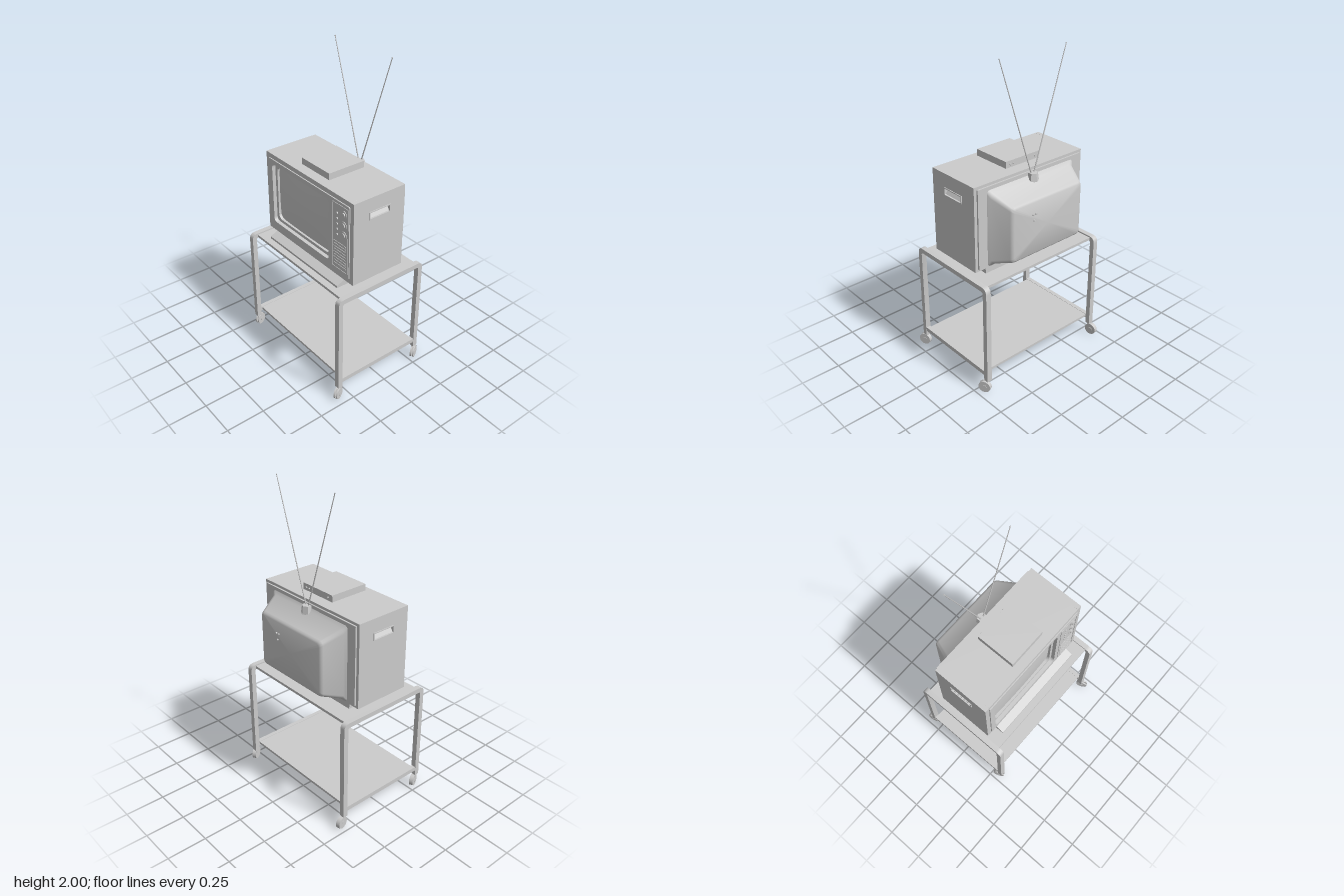
import * as THREE from 'three';
import { toCreasedNormals } from 'three/addons/utils/BufferGeometryUtils.js';

const mat = new THREE.MeshStandardMaterial({ color: 0xcccccc });
const matDouble = new THREE.MeshStandardMaterial({ color: 0xcccccc, side: THREE.DoubleSide });
const ZC = -0.01; // shared z centre of cart and television

export function createModel() {
  const root = new THREE.Group();

  const add = (name, geo, parent = root, m = mat) => {
    const mesh = new THREE.Mesh(geo, m);
    mesh.name = name;
    parent.add(mesh);
    return mesh;
  };
  // box given by its limits
  const box = (name, x0, x1, y0, y1, z0, z1, parent = root) => {
    const mesh = add(name, new THREE.BoxGeometry(x1 - x0, y1 - y0, z1 - z0), parent);
    mesh.position.set((x0 + x1) / 2, (y0 + y1) / 2, (z0 + z1) / 2);
    return mesh;
  };
  // cylinder lying along x
  const stub = (name, x, y, z, r, len, parent, sides = 16) => {
    const mesh = add(name, new THREE.CylinderGeometry(r, r, len, sides).rotateZ(Math.PI / 2), parent);
    mesh.position.set(x, y, z);
    return mesh;
  };
  const roundRect = (a0, a1, b0, b1, r, path = new THREE.Shape()) => {
    path.moveTo(a0 + r, b0).lineTo(a1 - r, b0).quadraticCurveTo(a1, b0, a1, b0 + r);
    path.lineTo(a1, b1 - r).quadraticCurveTo(a1, b1, a1 - r, b1);
    path.lineTo(a0 + r, b1).quadraticCurveTo(a0, b1, a0, b1 - r);
    path.lineTo(a0, b0 + r).quadraticCurveTo(a0, b0, a0 + r, b0);
    return path;
  };
  const extrude = (shape, depth) =>
    new THREE.ExtrudeGeometry(shape, { depth, bevelEnabled: false, curveSegments: 6 });
  // plate facing x with a rounded opening; limits are [z0, z1, y0, y1, radius]
  const plateX = (name, x0, x1, o, h, parent) => {
    const s = roundRect(-o[1], -o[0], o[2], o[3], o[4]);
    s.holes.push(roundRect(-h[1], -h[0], h[2], h[3], h[4], new THREE.Path()));
    add(name, extrude(s, x1 - x0).rotateY(Math.PI / 2), parent).position.x = x0;
  };

  // ---- Cart ----
  const cart = new THREE.Group();
  cart.name = 'cart';
  root.add(cart);
  box('topShelf', -0.29, 0.287, 0.715, 0.732, -0.44, 0.42, cart);
  box('lowerShelf', -0.29, 0.287, 0.124, 0.14, -0.44, 0.42, cart);
  const arch = new THREE.Shape();
  arch.moveTo(-0.33, 0.08).lineTo(-0.33, 0.7).quadraticCurveTo(-0.33, 0.74, -0.29, 0.74);
  arch.lineTo(0.282, 0.74).quadraticCurveTo(0.322, 0.74, 0.322, 0.7).lineTo(0.322, 0.08);
  arch.lineTo(0.291, 0.08).lineTo(0.291, 0.695).quadraticCurveTo(0.291, 0.71, 0.276, 0.71);
  arch.lineTo(-0.284, 0.71).quadraticCurveTo(-0.299, 0.71, -0.299, 0.695).lineTo(-0.299, 0.08);
  for (const s of [1, -1]) {
    const z = ZC + s * 0.444;
    add('sideFrame', toCreasedNormals(extrude(arch, 0.034), 0.6), cart).position.z = z - 0.017;
    box('lowerRail', -0.3, 0.292, 0.114, 0.142, z - 0.014, z + 0.014, cart);
  }

  // swivelled casters: stem x, stem z, wheel x, wheel z, swivel
  for (const [sx, sz, wx, wz, turn] of [
    [-0.314, 0.434, -0.326, 0.441, 0.42], [-0.314, -0.454, -0.298, -0.457, 0.38],
    [0.306, -0.454, 0.325, -0.456, 0.2], [0.306, 0.434, 0.297, 0.451, 0.5]]) {
    const caster = new THREE.Group();
    caster.name = 'caster';
    cart.add(caster);
    add('stem', new THREE.CylinderGeometry(0.01, 0.01, 0.04, 12), caster).position.set(sx, 0.075, sz);
    const fork = new THREE.Group();
    fork.name = 'swivelWheel';
    fork.position.set(wx, 0.039, wz);
    fork.rotation.y = turn;
    caster.add(fork);
    for (const s of [1, -1]) {
      add('wheel', new THREE.CylinderGeometry(0.038, 0.038, 0.009, 24).rotateX(Math.PI / 2), fork).position.z = s * 0.008;
      add('hub', new THREE.CylinderGeometry(0.014, 0.014, 0.004, 16).rotateX(Math.PI / 2), fork).position.z = s * 0.013;
    }
    add('fender', new THREE.CylinderGeometry(0.04, 0.04, 0.022, 20, 1, true, -0.6, 2.4)
      .rotateX(Math.PI / 2).rotateZ(Math.PI / 2), fork, matDouble);
  }

  // ---- Television cabinet ----
  const tv = new THREE.Group();
  tv.name = 'television';
  root.add(tv);
  box('cabinetCore', -0.15, 0.18, 0.77, 1.31, -0.4, 0.38, tv);
  const side = new THREE.Shape();
  side.moveTo(-0.195, 0.77).lineTo(0.18, 0.77).lineTo(0.18, 1.31).lineTo(-0.195, 1.31).closePath();
  side.holes.push(roundRect(-0.08, 0.066, 1.178, 1.217, 0.003, new THREE.Path()));
  const rim = roundRect(-0.087, 0.073, 1.172, 1.223, 0.004);
  rim.holes.push(roundRect(-0.08, 0.066, 1.178, 1.217, 0.003, new THREE.Path()));
  for (const s of [1, -1]) {
    const outer = ZC + s * 0.42;
    add('sidePanel', extrude(side, 0.03), tv).position.z = s > 0 ? outer - 0.03 : outer;
    add('handleRim', extrude(rim, 0.005), tv).position.z = s > 0 ? outer : outer - 0.005;
    const grip = box('handleScoop', -0.08, 0.066, 1.176, 1.214, outer - s * 0.015 - 0.002, outer - s * 0.015 + 0.002, tv);
    grip.rotation.x = -s * 0.6;
  }
  // plinth with a sloping front lip
  const plinth = new THREE.Shape();
  plinth.moveTo(-0.247, 0.732).lineTo(0.175, 0.732).lineTo(0.175, 0.772).lineTo(-0.19, 0.772)
    .lineTo(-0.247, 0.746).closePath();
  add('plinth', extrude(plinth, 0.68), tv).position.z = -0.35;

  // ---- Screen side (faces -x) ----
  plateX('frontFrame', -0.195, -0.15, [-0.4, 0.38, 0.77, 1.31, 0.001], [-0.365, 0.195, 0.84, 1.25, 0.03], tv);
  plateX('frontBezel', -0.202, -0.19, [-0.4, 0.38, 0.8, 1.28, 0.008], [-0.365, 0.195, 0.84, 1.25, 0.03], tv);
  plateX('screenSurround', -0.178, -0.15, [-0.368, 0.198, 0.837, 1.253, 0.03], [-0.345, 0.175, 0.86, 1.23, 0.04], tv);
  const glass = new THREE.PlaneGeometry(0.54, 0.39, 16, 12);
  const gp = glass.attributes.position;
  for (let i = 0; i < gp.count; i++) {
    const u = gp.getX(i) / 0.27, v = gp.getY(i) / 0.195;
    gp.setZ(i, 0.02 * (1 - u * u * 0.6) * (1 - v * v * 0.6));
  }
  glass.rotateY(-Math.PI / 2).computeVertexNormals();
  add('screen', glass, tv).position.set(-0.155, 1.045, -0.085);

  // control panel: border, dials, buttons and speaker slats
  plateX('controlBorder', -0.205, -0.2, [0.225, 0.372, 0.825, 1.262, 0.006], [0.231, 0.366, 0.831, 1.256, 0.005], tv);
  for (const y of [1.215, 1.145, 1.08]) {
    stub('dialPlate', -0.203, y, 0.335, 0.024, 0.005, tv, 24);
    stub('dial', -0.207, y, 0.335, 0.014, 0.01, tv, 16);
  }
  for (let i = 0; i < 5; i++) stub('button', -0.204, 1.06 + i * 0.035, 0.275, 0.007, 0.008, tv, 12);
  for (let i = 0; i < 9; i++) {
    const y = 0.85 + i * 0.019;
    box('speakerSlat', -0.205, -0.2, y, y + 0.009, 0.245, 0.352, tv);
  }

  // ---- Back housing (faces +x), lofted from rounded rectangles ----
  box('backPanel', 0.175, 0.19, 0.785, 1.293, -0.41, 0.39, tv);
  const rings = [ // x, half width, y0, y1, corner radius
    [0.185, 0.337, 0.78, 1.275, 0.02], [0.193, 0.334, 0.785, 1.268, 0.022], [0.205, 0.322, 0.797, 1.25, 0.028],
    [0.318, 0.278, 0.837, 1.196, 0.026], [0.329, 0.271, 0.843, 1.189, 0.024], [0.335, 0.258, 0.853, 1.178, 0.02]];
  const K = 5, N = 4 * (K + 1), pos = [], idx = [];
  for (const [x, w, y0, y1, r] of rings)
    for (let c = 0; c < 4; c++)
      for (let k = 0; k <= K; k++) {
        const a = (c + k / K) * Math.PI / 2;
        const sz = c === 0 || c === 3 ? 1 : -1, sy = c < 2 ? 1 : -1;
        pos.push(x, (y0 + y1) / 2 + sy * ((y1 - y0) / 2 - r) + r * Math.sin(a), ZC + sz * (w - r) + r * Math.cos(a));
      }
  const last = rings.length - 1;
  for (let j = 0; j < last; j++)
    for (let i = 0; i < N; i++) {
      const a = j * N + i, b = j * N + (i + 1) % N;
      idx.push(a, a + N, b, b, a + N, b + N);
    }
  pos.push(0.336, 1.015, ZC);
  for (let i = 0; i < N; i++) idx.push(last * N + i, rings.length * N, last * N + (i + 1) % N);
  const hump = new THREE.BufferGeometry();
  hump.setAttribute('position', new THREE.Float32BufferAttribute(pos, 3));
  hump.setIndex(idx);
  add('backHousing', toCreasedNormals(hump, 0.7), tv, matDouble);
  for (const [y, z] of [[1.105, 0.088], [1.105, 0.11], [1.065, 0.1]]) stub('jack', 0.338, y, z, 0.006, 0.012, tv, 10);

  // ---- Antenna ----
  const antenna = new THREE.Group();
  antenna.name = 'antenna';
  root.add(antenna);
  const base = add('antennaBase', new THREE.CylinderGeometry(0.03, 0.037, 0.05, 6).rotateY(Math.PI / 6).toNonIndexed(), antenna);
  base.geometry.computeVertexNormals();
  base.position.set(0.202, 1.263, ZC);
  for (const s of [1, -1]) {
    const from = new THREE.Vector3(0.2, 1.27, ZC + s * 0.006), to = new THREE.Vector3(0.2, 1.997, -0.005 + s * 0.245);
    const dir = to.clone().sub(from);
    const rod = add('antennaRod', new THREE.CylinderGeometry(0.0025, 0.004, dir.length(), 8), antenna);
    rod.position.copy(from).addScaledVector(dir, 0.5);
    rod.quaternion.setFromUnitVectors(new THREE.Vector3(0, 1, 0), dir.normalize());
    add('antennaTip', new THREE.SphereGeometry(0.004, 8, 6), antenna).position.copy(to);
  }

  // ---- Tuner box on top ----
  const tuner = new THREE.Group();
  tuner.name = 'tunerBox';
  root.add(tuner);
  box('tunerBody', -0.14, 0.118, 1.32, 1.362, -0.135, 0.123, tuner);
  for (const x of [-0.08, 0.08])
    for (const z of [-0.1, 0.09]) {
      add('foot', new THREE.CylinderGeometry(0.014, 0.014, 0.012, 14), tuner).position.set(x, 1.315, z);
    }
  for (const z of [-0.1, 0.067, 0.092]) stub('connector', 0.121, 1.34, z, 0.005, 0.01, tuner, 10);

  return root;
}
